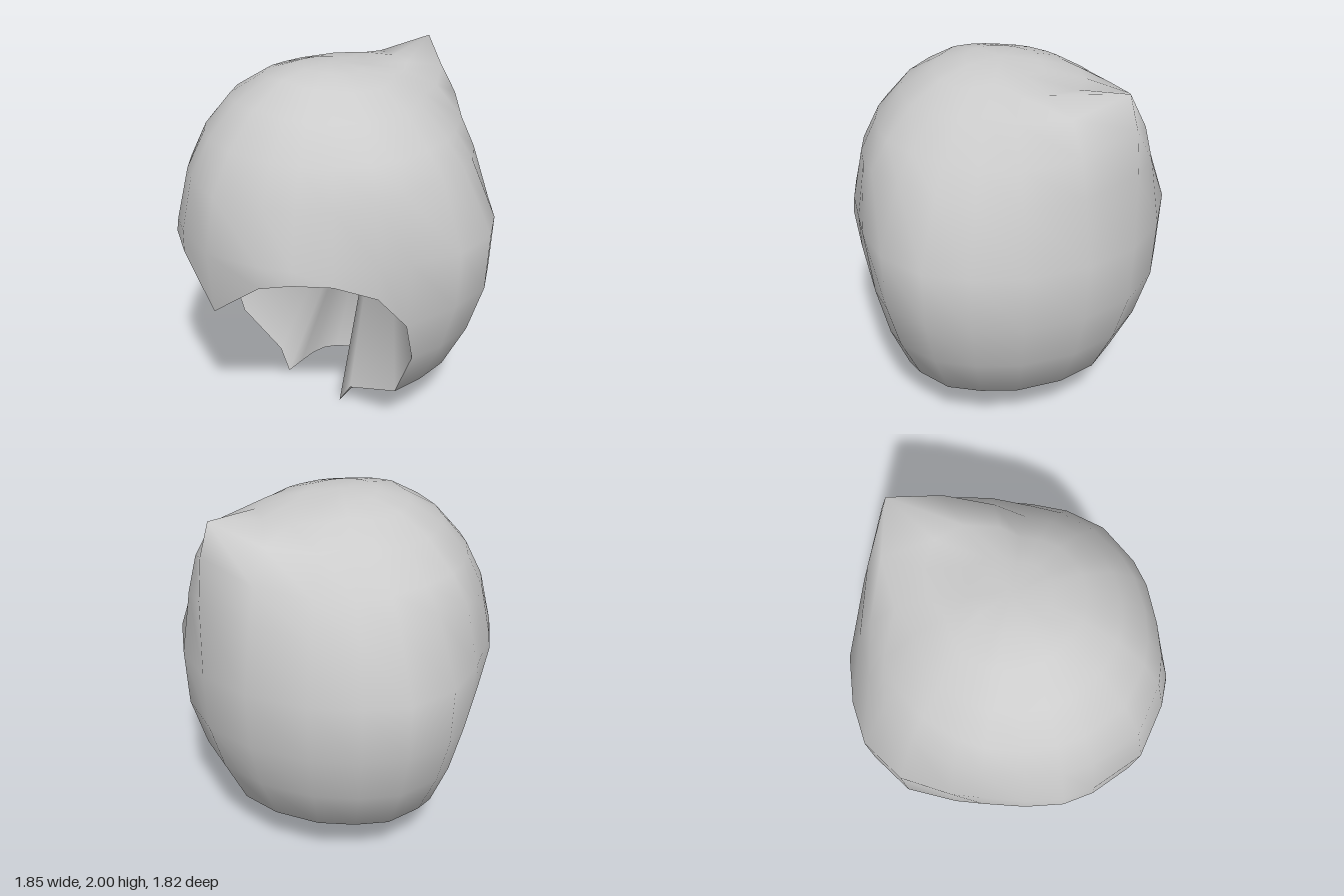
import * as THREE from 'three';

// Column directions in degrees, front (0) round the left side to the back (180), and belt radii
const ANGLES = [0, 20, 31.5, 45, 61, 72, 90, 107, 122, 139, 160.5, 180];
const BELT = [0.91, 0.88, 0.87, 0.84, 0.83, 0.86, 0.925, 0.95, 0.92, 0.907, 0.9, 0.91];

// Dome meridians: [angle, then (radius, height) from crown downwards]
const MERIDIANS = [
  [0, 0.2, 1.995, 0.36, 1.97, 0.56, 1.86, 0.73, 1.68, 0.85, 1.47],
  [45, 0.2, 1.99, 0.37, 1.94, 0.55, 1.83, 0.69, 1.66, 0.78, 1.47],
  [90, 0.2, 1.98, 0.37, 1.93, 0.53, 1.83, 0.68, 1.67, 0.78, 1.55],
  [124, 0.17, 1.985, 0.33, 1.95, 0.5, 1.86, 0.68, 1.66, 0.78, 1.5],
  [152, 0.22, 1.97, 0.45, 1.94, 0.64, 1.85, 0.76, 1.68, 0.82, 1.5],
  [180, 0.25, 1.965, 0.5, 1.94, 0.82, 2.0, 0.875, 1.83, 0.9, 1.6],
];

// Brow edge ends of the front columns, and the cheek edge down to the neck corner
const BROW = [[0, 0.83, 0.88], [0.3, 1.06, 0.83], [0.46, 1.105, 0.75], [0.6, 1.09, 0.6], [0.72, 0.99, 0.4]];
const CHEEK = [[0.78, 0.79, 0.24], [0.76, 0.55, 0.16], [0.64, 0.27, 0.15], [0.3, 0.13, 0.15], [0.22, 0.005, 0.155]];
// Neck opening from beside the corner to the nape
const NECK = [[0.215, 0.03, 0.05], [0.21, 0.05, -0.05], [0.2, 0.05, -0.14], [0.17, 0.04, -0.22], [0.12, 0.03, -0.28], [0, 0.03, -0.28]];
const APEX = [0, 1.58, -0.5];

const polar = (deg, r, y) => {
  const a = THREE.MathUtils.degToRad(deg);
  return [r * Math.sin(a), y, r * Math.cos(a)];
};
const mirror = ([x, y, z]) => [-x, y, z];

function meridianAt(deg) {
  let k = 0;
  while (k < MERIDIANS.length - 2 && deg > MERIDIANS[k + 1][0]) k++;
  const a = MERIDIANS[k], b = MERIDIANS[k + 1];
  const t = (deg - a[0]) / (b[0] - a[0]);
  return a.map((v, i) => THREE.MathUtils.lerp(v, b[i], t));
}

// One column of the outer surface, from under the crown to its lower edge
function makeColumn(deg, j) {
  const m = meridianAt(deg);
  const col = [];
  for (let i = 1; i < m.length; i += 2) col.push(polar(deg, m[i], m[i + 1]));
  col.push(polar(deg, BELT[j], 1.18));
  if (j < 5) return [...col, BROW[j]];
  if (j === 5) return [...col, ...CHEEK];
  // Side and back walls draw in, then the underside slopes to the neck
  for (const [scale, y] of [[0.985, 0.86], [0.895, 0.58], [0.755, 0.31]]) col.push(polar(deg, BELT[j] * scale, y));
  const low = col[col.length - 1], neck = NECK[j - 6];
  const floor = low.map((v, i) => THREE.MathUtils.lerp(v, neck[i], 0.7));
  floor[1] += 0.03 * (180 - deg) / 90;
  return [...col, floor, neck];
}

function makeMesh(name, positions, index, material) {
  const geo = new THREE.BufferGeometry();
  geo.setAttribute('position', new THREE.Float32BufferAttribute(positions.flat(), 3));
  geo.setIndex(index);
  geo.computeVertexNormals();
  const mesh = new THREE.Mesh(geo, material);
  mesh.name = name;
  return mesh;
}

export function createModel() {
  const group = new THREE.Group();
  group.name = 'hood';
  const material = new THREE.MeshStandardMaterial({ color: 0xcccccc });

  // Outer shell: columns joined around the crown
  const half = ANGLES.map(makeColumn);
  const columns = [...half, ...half.slice(1, -1).reverse().map((c) => c.map(mirror))];
  const positions = [[0, 2, 0]], index = [];
  const starts = columns.map((c) => {
    const s = positions.length;
    positions.push(...c);
    return s;
  });
  columns.forEach((c, j) => {
    const n = (j + 1) % columns.length;
    const a = starts[j], b = starts[n];
    index.push(0, a, b);
    const rows = Math.min(c.length, columns[n].length) - 1;
    for (let i = 0; i < rows; i++) index.push(a + i, a + i + 1, b + i + 1, a + i, b + i + 1, b + i);
  });
  group.add(makeMesh('outerShell', positions, index, material));

  // Lining: the whole face and neck edge drawn in to a point under the crown
  const edge = [...BROW, ...CHEEK, ...NECK];
  const loop = [...edge, ...edge.slice(1, -1).reverse().map(mirror)];
  const fan = [];
  loop.forEach((_, i) => fan.push(0, 1 + ((i + 1) % loop.length), 1 + i));
  group.add(makeMesh('innerLining', [APEX, ...loop], fan, material));

  return group;
}
